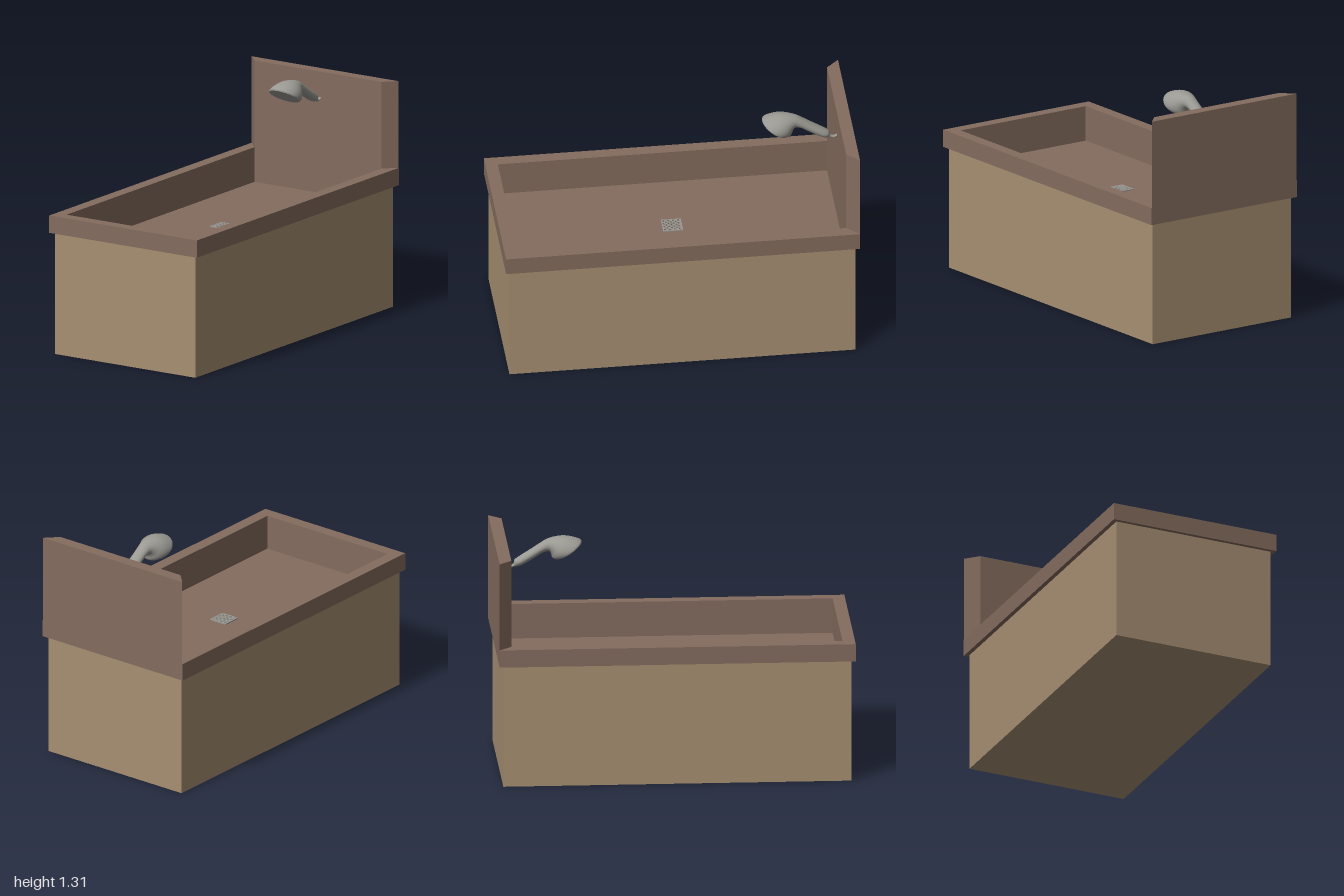
import * as THREE from 'three';

const mat = (name, color) => {
  const m = new THREE.MeshStandardMaterial({ color });
  m.name = name;
  return m;
};

// Rectangle path centred on (x, z), optionally turned by 45 degrees
function rect(Type, hx, hz) {
  const s = new Type();
  s.moveTo(-hx, -hz);
  s.lineTo(hx, -hz);
  s.lineTo(hx, hz);
  s.lineTo(-hx, hz);
  s.closePath();
  return s;
}

// Flat shape in plan, raised from y0 to y1
function raise(shape, y0, y1) {
  const g = new THREE.ExtrudeGeometry(shape, { depth: y1 - y0, bevelEnabled: false });
  return g.rotateX(-Math.PI / 2).translate(0, y0, 0);
}

// Rectangular ring with vertical walls
function ring(ox, oz, ix, iz, y0, y1) {
  const s = rect(THREE.Shape, ox, oz);
  s.holes.push(rect(THREE.Path, ix, iz));
  return raise(s, y0, y1);
}

// Skin over oval sections, each { top, bottom, half } in the z-y plane
function loft(sections, n = 32) {
  const pos = [], idx = [];
  sections.forEach(({ top, bottom, half }, i) => {
    const c = top.clone().add(bottom).multiplyScalar(0.5);
    const up = top.clone().sub(bottom).multiplyScalar(0.5);
    for (let j = 0; j < n; j++) {
      const t = (j / n) * Math.PI * 2, k = Math.cos(t);
      pos.push(Math.sin(t) * half, c.y + up.y * k, c.z + up.z * k);
      if (i + 1 < sections.length) {
        const a = i * n + j, b = i * n + (j + 1) % n;
        idx.push(a, a + n, b, b, a + n, b + n);
      }
    }
  });
  const g = new THREE.BufferGeometry();
  g.setAttribute('position', new THREE.Float32BufferAttribute(pos, 3));
  g.setIndex(idx);
  g.computeVertexNormals();
  return g;
}

export function createModel() {
  const model = new THREE.Group();
  model.name = 'washBasin';
  const wood = mat('tan base', 0xa78f72);
  const brown = mat('brown basin', 0x846c5e);
  const metal = mat('grey metal', 0x9a9993);

  const add = (name, geometry, material, parent = model) => {
    const m = new THREE.Mesh(geometry, material);
    m.name = name;
    parent.add(m);
    return m;
  };

  // Hollow base with a closed bottom
  add('baseWalls', ring(0.475, 0.975, 0.44, 0.94, 0, 0.7), wood);
  add('baseBottom', raise(rect(THREE.Shape, 0.44, 0.94), 0, 0.02), wood);

  // Basin: overhanging rim, inner walls and sunken floor
  add('rim', ring(0.5, 0.997, 0.43, 0.927, 0.7, 0.8), brown);
  add('basinWalls', ring(0.438, 0.937, 0.43, 0.927, 0.59, 0.7), brown);
  add('basinFloor', raise(rect(THREE.Shape, 0.438, 0.937), 0.57, 0.6), brown);

  // Back panel with mitred ends
  const panel = new THREE.Shape();
  panel.moveTo(-0.43, 0.927);
  panel.lineTo(0.43, 0.927);
  panel.lineTo(0.497, 0.997);
  panel.lineTo(-0.497, 0.997);
  panel.closePath();
  add('backPanel', raise(panel, 0.8, 1.3), brown);

  // Drain grate with staggered diamond holes
  const half = 0.056, cells = 4, pitch = (2 * half) / cells, r = pitch * 0.36;
  const grate = rect(THREE.Shape, half, half);
  const punch = (count) => {
    for (let i = 0; i < count; i++) for (let j = 0; j < count; j++) {
      const x = (i - (count - 1) / 2) * pitch, y = (j - (count - 1) / 2) * pitch;
      const hole = new THREE.Path();
      hole.moveTo(x - r, y);
      hole.lineTo(x, y - r);
      hole.lineTo(x + r, y);
      hole.lineTo(x, y + r);
      hole.closePath();
      grate.holes.push(hole);
    }
  };
  punch(cells);
  punch(cells - 1);
  add('drainGrate', raise(grate, 0.6, 0.606), metal);

  // Shower: top z, y, bottom z, y and half width, from the wall to the head
  const profile = [
    [-0.935, 1.158, -0.927, 1.146, 0.008],
    [-0.912, 1.146, -0.906, 1.133, 0.01],
    [-0.888, 1.157, -0.88, 1.14, 0.014],
    [-0.882, 1.178, -0.858, 1.143, 0.028],
    [-0.86, 1.195, -0.835, 1.152, 0.035],
    [-0.795, 1.236, -0.77, 1.19, 0.037],
    [-0.735, 1.275, -0.715, 1.222, 0.037],
    [-0.7, 1.296, -0.686, 1.225, 0.042],
    [-0.65, 1.309, -0.677, 1.21, 0.06],
    [-0.6, 1.312, -0.672, 1.193, 0.078],
    [-0.55, 1.303, -0.664, 1.184, 0.089],
    [-0.508, 1.286, -0.65, 1.182, 0.092],
    [-0.506, 1.276, -0.642, 1.184, 0.089],
  ];
  const tops = new THREE.CatmullRomCurve3(profile.map(p => new THREE.Vector3(p[4], p[1], p[0])));
  const bottoms = new THREE.CatmullRomCurve3(profile.map(p => new THREE.Vector3(0, p[3], p[2])));
  const steps = 48, sections = [];
  for (let i = 0; i <= steps; i++) {
    const top = tops.getPoint(i / steps), bottom = bottoms.getPoint(i / steps);
    sections.push({ top, bottom, half: top.x });
  }
  const shower = new THREE.Group();
  shower.name = 'shower';
  shower.position.x = 0.013;
  model.add(shower);
  add('showerBody', loft(sections), metal, shower);

  // Spray face closing the head
  const end = sections[steps];
  const middle = end.top.clone().add(end.bottom).multiplyScalar(0.5);
  add('sprayFace', loft([end, { top: middle, bottom: middle, half: 0 }]), metal, shower);

  model.rotation.y = -0.005;
  return model;
}
